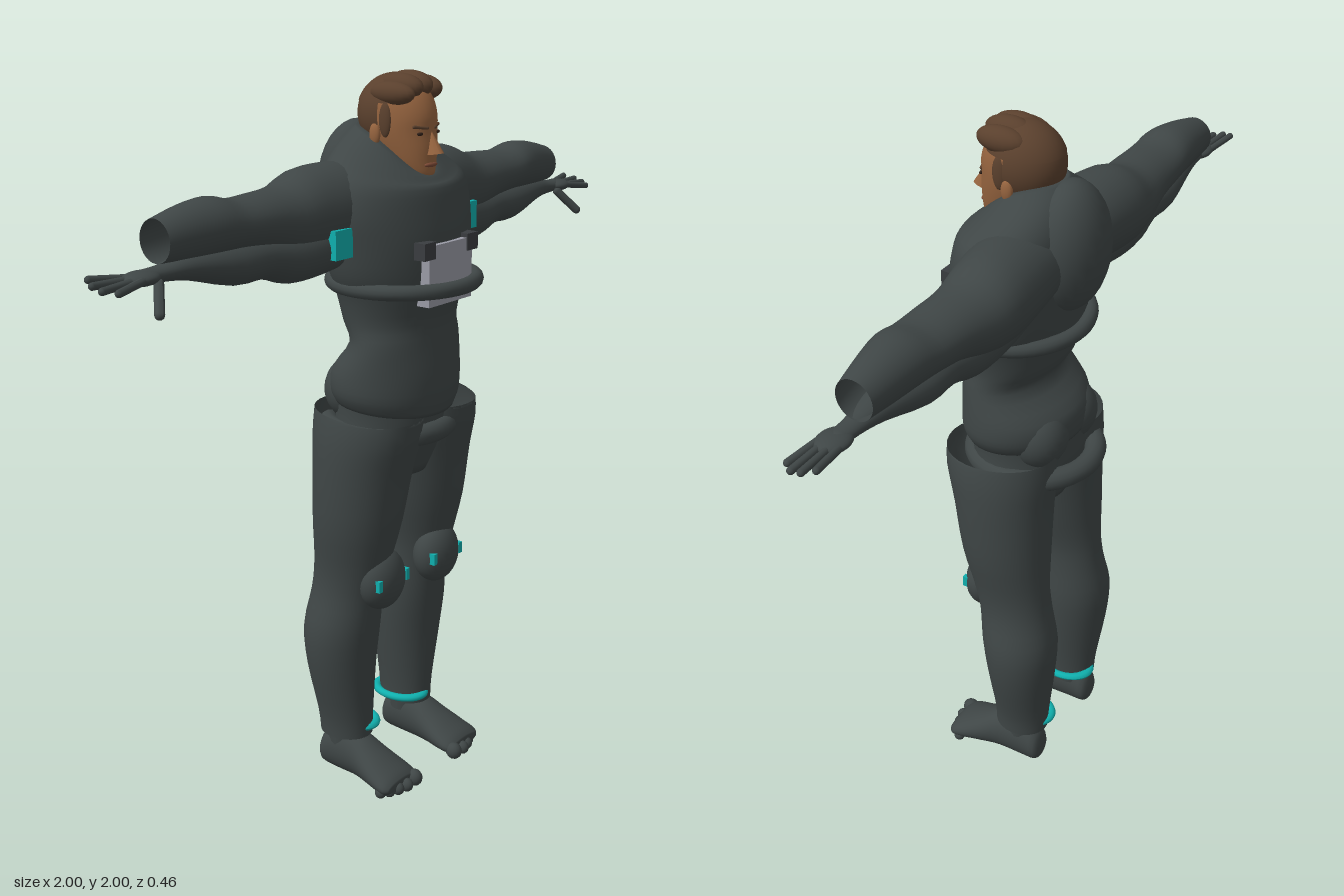
import * as THREE from 'three';

const mat = (name, color, double) => {
  const m = new THREE.MeshStandardMaterial({ color });
  m.name = name;
  if (double) m.side = THREE.DoubleSide;
  return m;
};

// Smooth interpolation through the ring values
const spline = (a, b, c, d, t) =>
  0.5 * (2 * b + (c - a) * t + (2 * a - 5 * b + 4 * c - d) * t * t + (3 * b - a - 3 * c + d) * t * t * t);

// Skin over oval rings [t, aMin, aMax, bMin, bMax, frontDrop] placed along an axis
function loft(axis, rings, caps = true, n = 28, steps = 3) {
  const place = {
    y: (t, a, b) => [a, t, b],
    x: (t, a, b) => [t, b, a],
    z: (t, a, b) => [b, a, t],
  }[axis];
  const all = [];
  const at = (i) => rings[Math.min(Math.max(i, 0), rings.length - 1)];
  for (let i = 0; i < rings.length - 1; i++)
    for (let s = 0; s < steps; s++)
      all.push(rings[i].map((v, k) => spline(at(i - 1)[k], v, at(i + 1)[k], at(i + 2)[k], s / steps)));
  all.push(rings[rings.length - 1]);
  const pos = [], idx = [];
  for (const [t, a0, a1, b0, b1, drop = 0] of all)
    for (let j = 0; j < n; j++) {
      const c = Math.cos((j / n) * Math.PI * 2), s = Math.sin((j / n) * Math.PI * 2);
      const y = t - drop * ((s + 1) / 2) ** 2;
      pos.push(...place(y, (a0 + a1) / 2 + (c * (a1 - a0)) / 2, (b0 + b1) / 2 + (s * (b1 - b0)) / 2));
    }
  for (let i = 0; i < all.length - 1; i++)
    for (let j = 0; j < n; j++) {
      const p = i * n + j, q = i * n + ((j + 1) % n);
      idx.push(p, p + n, q, q, p + n, q + n);
    }
  if (caps)
    for (const [ring, flip] of [[0, false], [all.length - 1, true]]) {
      const [t, a0, a1, b0, b1, drop = 0] = all[ring];
      const c = pos.length / 3;
      pos.push(...place(t - drop / 4, (a0 + a1) / 2, (b0 + b1) / 2));
      for (let j = 0; j < n; j++) {
        const p = ring * n + j, q = ring * n + ((j + 1) % n);
        idx.push(c, flip ? q : p, flip ? p : q);
      }
    }
  const g = new THREE.BufferGeometry();
  g.setAttribute('position', new THREE.Float32BufferAttribute(pos, 3));
  g.setIndex(idx);
  g.computeVertexNormals();
  return g;
}

const ball = (x, y, z, rx, ry, rz, n = 24) =>
  new THREE.SphereGeometry(1, n, Math.round(n * 0.7)).scale(rx, ry, rz).translate(x, y, z);
const box = (x, y, z, w, h, d) => new THREE.BoxGeometry(w, h, d).translate(x, y, z);
const ring = (x, y, z, rx, rz, tube) =>
  new THREE.TorusGeometry(1, tube / rx, 12, 48).rotateX(Math.PI / 2).scale(rx, rx, rz).translate(x, y, z);

// Rounded rod between two points
function rod(p, q, r) {
  const a = new THREE.Vector3(...p), b = new THREE.Vector3(...q), d = b.clone().sub(a);
  const turn = new THREE.Quaternion().setFromUnitVectors(new THREE.Vector3(0, 1, 0), d.clone().normalize());
  const mid = a.add(b).multiplyScalar(0.5);
  return new THREE.CapsuleGeometry(r, d.length(), 5, 10).applyQuaternion(turn).translate(mid.x, mid.y, mid.z);
}

function mirrored(geometry) {
  const g = geometry.clone().scale(-1, 1, 1);
  const i = g.index.array;
  for (let k = 0; k < i.length; k += 3) [i[k + 1], i[k + 2]] = [i[k + 2], i[k + 1]];
  g.computeVertexNormals();
  return g;
}

export function createModel() {
  const model = new THREE.Group();
  model.name = 'figure';
  const suit = mat('suit', 0x3f4646), cloth = mat('suitCloth', 0x3f4646, true);
  const skin = mat('skin', 0x96643f), hair = mat('hair', 0x5a402d, true);
  const teal = mat('teal', 0x10b0ae), plate = mat('lightGrey', 0x9a9ba6);
  const dark = mat('darkGrey', 0x3a3d40), eye = mat('eyeDark', 0x33231a), lip = mat('lip', 0x7d4a36);

  const add = (name, geometry, material) => {
    const m = new THREE.Mesh(geometry, material);
    m.name = name;
    model.add(m);
  };
  const pair = (name, geometry, material) => {
    add(name + 'Left', geometry, material);
    add(name + 'Right', mirrored(geometry), material);
  };

  // Torso shell with a collar that dips at the front
  const torso = [
    [1.13, 0.18, -0.16, 0.145, 0.03], [1.165, 0.2, -0.165, 0.155, 0.02], [1.22, 0.2, -0.155, 0.155, 0],
    [1.3, 0.186, -0.09, 0.146, 0], [1.36, 0.182, -0.12, 0.145, 0], [1.44, 0.2, -0.14, 0.163, 0],
    [1.5, 0.225, -0.15, 0.168, 0], [1.58, 0.24, -0.16, 0.168, 0], [1.66, 0.25, -0.165, 0.158, 0.01],
    [1.74, 0.235, -0.165, 0.145, 0.03], [1.795, 0.185, -0.155, 0.13, 0.07],
    [1.84, 0.12, -0.135, 0.115, 0.1], [1.865, 0.088, -0.11, 0.102, 0.12],
  ];
  add('torso', loft('y', torso.map(([y, x, b, f, d]) => [y, -x, x, b, f, d]), true, 40), suit);
  add('hips', loft('y', [[0.92, -0.1, 0.1, -0.12, 0.08], [1.02, -0.17, 0.17, -0.155, 0.12], [1.1, -0.172, 0.172, -0.16, 0.135],
    [1.18, -0.18, 0.18, -0.15, 0.135]]), suit);
  pair('buttock', ball(0.075, 1.15, -0.09, 0.085, 0.09, 0.08), suit);
  add('backHump', ball(0, 1.695, -0.13, 0.125, 0.175, 0.1), suit);
  add('chestRing', ring(0, 1.46, 0.025, 0.198, 0.19, 0.021), suit);
  add('beltRing', ring(0, 1.05, -0.033, 0.165, 0.165, 0.03), suit);

  // Chest panel
  add('chestPanel', box(0, 1.495, 0.15, 0.185, 0.16, 0.06), plate);
  pair('chestBlock', box(0.092, 1.563, 0.15, 0.047, 0.045, 0.065), dark);

  // Loose sleeves, with the slimmer arms hanging below them
  pair('sleeve', loft('x', [
    [0.1, -0.17, 0.05, 1.57, 1.775], [0.2, -0.18, 0.05, 1.555, 1.782], [0.3, -0.183, 0.035, 1.55, 1.775],
    [0.38, -0.17, 0.027, 1.565, 1.745], [0.47, -0.155, 0.022, 1.595, 1.738], [0.56, -0.148, 0.02, 1.61, 1.735],
    [0.63, -0.142, 0.015, 1.61, 1.75], [0.71, -0.132, 0, 1.61, 1.742], [0.8, -0.12, -0.018, 1.615, 1.72],
  ], false), cloth);
  pair('arm', loft('x', [
    [0.15, -0.13, 0.02, 1.52, 1.66], [0.28, -0.14, 0.03, 1.503, 1.65], [0.39, -0.135, 0.025, 1.5, 1.64],
    [0.48, -0.125, 0.015, 1.527, 1.64], [0.58, -0.125, 0.012, 1.528, 1.64], [0.72, -0.1, -0.015, 1.565, 1.63],
    [0.8, -0.085, -0.03, 1.575, 1.615], [0.86, -0.085, -0.028, 1.578, 1.612],
  ]), suit);
  pair('armpitPatch', loft('z', [[-0.03, 1.555, 1.63, 0.23, 0.3], [0.04, 1.555, 1.63, 0.23, 0.3]], true, 4, 1)
    .scale(0.01, 0.01, 0.01).translate(0.265, 1.59, -0.05), teal);
  pair('armpitPanel', box(0.268, 1.592, 0.01, 0.066, 0.075, 0.07), teal);

  // Hands
  pair('palm', ball(0.86, 1.594, -0.055, 0.05, 0.018, 0.04), suit);
  [[-0.083, 0.975, 1.604, -0.1], [-0.064, 0.99, 1.596, -0.07], [-0.044, 0.988, 1.588, -0.04], [-0.027, 0.965, 1.583, -0.012]]
    .forEach(([z0, x, y, z], i) => pair('finger' + (i + 1), rod([0.88, 1.594, z0], [x, y, z], 0.0095), suit));
  pair('thumb', rod([0.83, 1.58, -0.03], [0.873, 1.522, 0.015], 0.0125), suit);

  // Trouser legs, open at the waist and the ankle
  pair('leg', loft('y', [
    [0.13, 0.07, 0.207, -0.157, 0.003], [0.2, 0.066, 0.215, -0.162, 0.005], [0.35, 0.05, 0.25, -0.18, 0.015],
    [0.47, 0.043, 0.26, -0.187, 0.03], [0.58, 0.05, 0.24, -0.168, 0.045], [0.67, 0.048, 0.24, -0.158, 0.068],
    [0.8, 0.02, 0.26, -0.155, 0.1], [0.95, -0.003, 0.265, -0.155, 0.125], [1.05, -0.015, 0.262, -0.16, 0.15],
    [1.12, -0.015, 0.25, -0.16, 0.155, 0.025],
  ], false, 32), cloth);
  pair('kneePad', ball(0.125, 0.633, 0.045, 0.08, 0.088, 0.058), suit);
  for (const x of [0.064, 0.183]) pair('kneeLight', box(x, 0.637, 0.082, 0.014, 0.033, 0.018), teal);
  pair('ankleRing', ring(0.115, 0.155, -0.078, 0.058, 0.078, 0.011), teal);

  // Bare feet
  pair('foot', loft('z', [
    [-0.152, 0.03, 0.06, 0.13, 0.165], [-0.14, 0.006, 0.11, 0.105, 0.187], [-0.09, 0, 0.145, 0.1, 0.192],
    [-0.02, 0, 0.14, 0.093, 0.197], [0.04, 0, 0.108, 0.083, 0.212], [0.09, 0, 0.08, 0.075, 0.223],
    [0.125, 0.003, 0.06, 0.076, 0.225], [0.14, 0.015, 0.045, 0.09, 0.21],
  ]), suit);
  pair('ankle', new THREE.CylinderGeometry(0.055, 0.047, 0.2, 20).translate(0.143, 0.19, -0.08), suit);
  [[0.096, 0.14, 0.025], [0.135, 0.143, 0.02], [0.165, 0.135, 0.019], [0.19, 0.123, 0.018], [0.211, 0.108, 0.017]]
    .forEach(([x, z, r], i) => pair('toe' + (i + 1), ball(x, r, z, r * 0.9, r, r, 14), suit));

  // Head and face
  add('neck', new THREE.CylinderGeometry(0.06, 0.068, 0.16, 24).translate(0, 1.77, -0.02), skin);
  const head = [
    [1.73, 0.022, 0.05, 0.1], [1.742, 0.042, 0.01, 0.115], [1.77, 0.06, -0.03, 0.117], [1.81, 0.074, -0.07, 0.118],
    [1.85, 0.083, -0.088, 0.115], [1.89, 0.085, -0.093, 0.115], [1.93, 0.082, -0.09, 0.102],
    [1.96, 0.066, -0.07, 0.08], [1.975, 0.035, -0.035, 0.045],
  ];
  add('head', loft('y', head.map(([y, x, b, f]) => [y, -x, x, b, f])), skin);
  add('nose', new THREE.ConeGeometry(0.032, 0.066, 12).scale(0.6, 1, 1).rotateX(-0.15).translate(0, 1.827, 0.115), skin);
  add('mouth', ball(0, 1.768, 0.112, 0.026, 0.007, 0.009, 14), lip);
  pair('eye', ball(0.034, 1.848, 0.104, 0.013, 0.005, 0.005, 12), eye);
  pair('brow', rod([0.016, 1.862, 0.112], [0.05, 1.866, 0.096], 0.0045), hair);
  pair('ear', ball(0.088, 1.845, -0.002, 0.01, 0.029, 0.017, 14), skin);

  // Hair: crown cap, lower back and side growth, swept waves on top
  add('hairCap', new THREE.SphereGeometry(1, 32, 12, 0, Math.PI * 2, 0, Math.PI * 0.4)
    .scale(0.094, 0.103, 0.108).translate(0, 1.892, -0.002), hair);
  add('hairBack', new THREE.SphereGeometry(1, 28, 18, Math.PI * 0.96, Math.PI * 1.08, 0, Math.PI * 0.68)
    .scale(0.093, 0.103, 0.103).translate(0, 1.892, -0.004), hair);
  pair('sideburn', ball(0.079, 1.882, 0.025, 0.01, 0.045, 0.02, 14), hair);
  [[-0.062, 1.948, 0.03], [-0.028, 1.963, 0.034], [0.012, 1.966, 0.036], [0.052, 1.956, 0.034]]
    .forEach(([x, y, r], i) => add('hairWave' + (i + 1), ball(x, y, 0.035, r, r, 0.07, 18), hair));
  return model;
}
